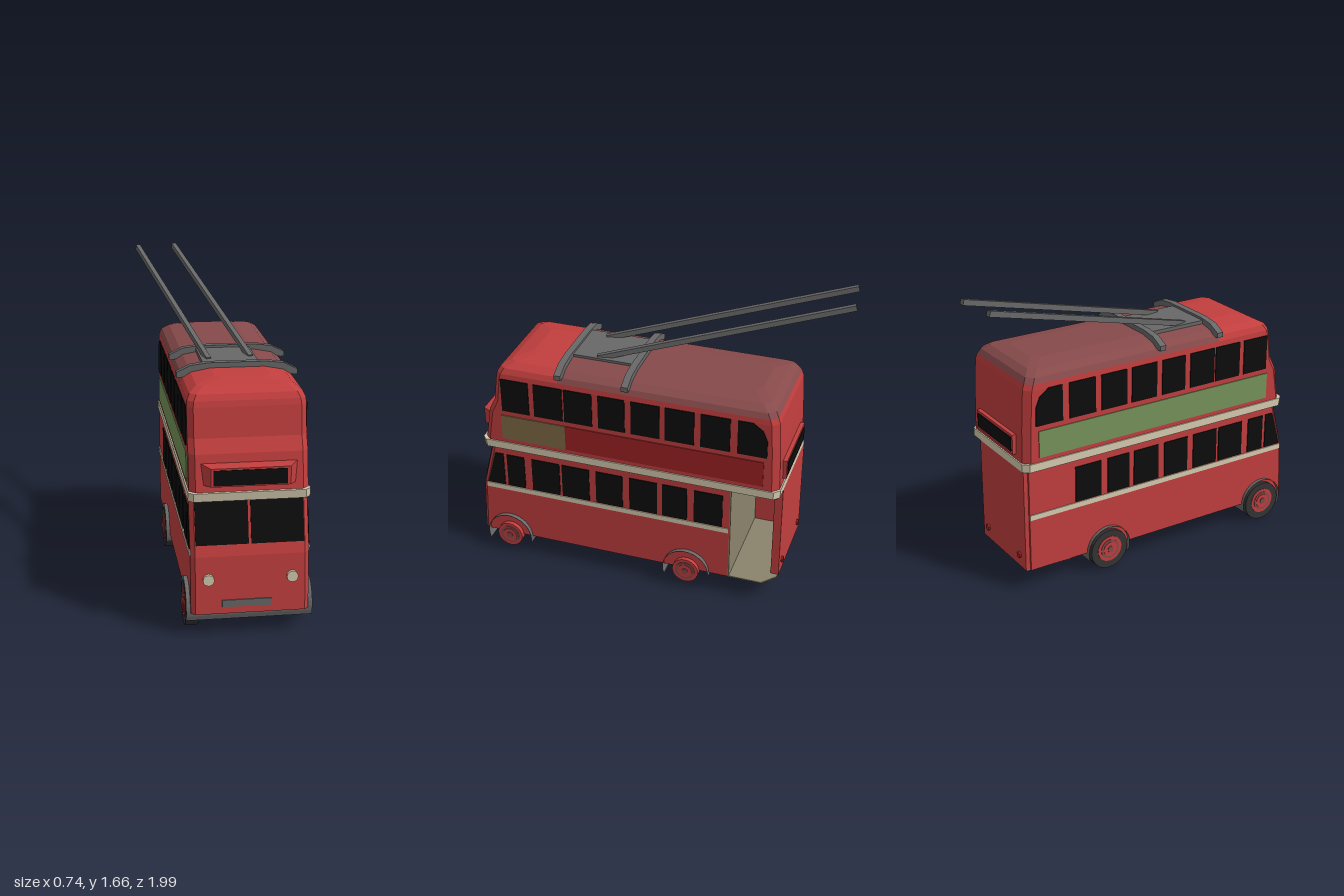
import * as THREE from 'three';

const mat = (name, color, side = THREE.FrontSide) => {
  const m = new THREE.MeshStandardMaterial({ color, side, flatShading: true });
  m.name = name;
  return m;
};

export function createModel() {
  const red = mat('body red', 0xc23e3e), maroon = mat('roof maroon', 0x874a4b);
  const cream = mat('cream', 0xd6ccb0), black = mat('window black', 0x0c0c0c);
  const grey = mat('metal grey', 0x686868, THREE.DoubleSide), tyreMat = mat('tyre dark', 0x343434);
  const tan = mat('panel tan', 0x826a48), adRed = mat('panel red', 0xa02224);
  const green = mat('panel green', 0x76935a), khaki = mat('platform khaki', 0x8a836c);

  const bus = new THREE.Group();
  bus.name = 'doubleDeckTrolleybus';
  const body = new THREE.Group();
  body.name = 'vehicle';
  body.position.x = 0.037;
  bus.add(body);
  const W = 0.297;

  const add = (name, geo, material, x = 0, y = 0, z = 0) => {
    const m = new THREE.Mesh(geo, material);
    m.name = name;
    m.position.set(x, y, z);
    body.add(m);
    return m;
  };
  // box given by its limits
  const box = (name, material, x0, x1, y0, y1, z0, z1) =>
    add(name, new THREE.BoxGeometry(x1 - x0, y1 - y0, z1 - z0), material,
      (x0 + x1) / 2, (y0 + y1) / 2, (z0 + z1) / 2);

  // stack of corner-cut rectangles, levels [y, zFront, zBack, halfWidth]
  const loft = (name, material, levels, cf, cb) => {
    const rings = levels.map(([y, f, b, w]) => [
      [w, y, f - cf], [w, y, b + cb], [w - cb, y, b], [-w + cb, y, b],
      [-w, y, b + cb], [-w, y, f - cf], [-w + cf, y, f], [w - cf, y, f]]);
    const pos = [];
    const tri = (a, b, c) => pos.push(...a, ...b, ...c);
    for (let i = 0; i + 1 < rings.length; i++)
      for (let j = 0; j < 8; j++) {
        const k = (j + 1) % 8, lo = rings[i], hi = rings[i + 1];
        tri(lo[j], lo[k], hi[k]);
        tri(lo[j], hi[k], hi[j]);
      }
    const bot = rings[0], top = rings[rings.length - 1];
    for (let j = 1; j < 7; j++) {
      tri(top[0], top[j], top[j + 1]);
      tri(bot[0], bot[j + 1], bot[j]);
    }
    const g = new THREE.BufferGeometry();
    g.setAttribute('position', new THREE.Float32BufferAttribute(pos, 3));
    g.computeVertexNormals();
    return add(name, g, material);
  };

  // thin polygon on a side wall, points [z, y]
  const sidePlate = (name, material, pts, side) => {
    const s = new THREE.Shape(pts.map(([z, y]) => new THREE.Vector2(-z, y)));
    const g = new THREE.ExtrudeGeometry(s, { depth: 0.006, bevelEnabled: false });
    g.rotateY(Math.PI / 2);
    return add(name, g, material, side > 0 ? W - 0.001 : -W - 0.005);
  };
  const rect = (z0, z1, y0, y1) => [[z0, y0], [z1, y0], [z1, y1], [z0, y1]];

  // lower deck
  loft('lowerBody', red, [[0.12, 0.99, -0.48, W], [0.42, 0.975, -0.48, W], [0.7, 0.905, -0.48, W]], 0.022, 0);
  box('rearSideWall', red, -W, -W + 0.03, 0.12, 0.7, -0.72, -0.48);
  box('rearWall', red, -W + 0.012, 0.2, 0.12, 0.7, -0.745, -0.7);
  box('bulkhead', khaki, -W + 0.03, W, 0.125, 0.7, -0.486, -0.48);
  box('platformCeiling', khaki, -W + 0.03, W - 0.005, 0.694, 0.7, -0.73, -0.48);
  // platform floor with its outer rear corner cut off
  const floor = new THREE.Shape([[-W, 0.48], [W, 0.48], [W, 0.67], [0.22, 0.74], [-W + 0.012, 0.74]]
    .map(([x, z]) => new THREE.Vector2(x, z)));
  const floorGeo = new THREE.ExtrudeGeometry(floor, { depth: 0.008, bevelEnabled: false });
  floorGeo.rotateX(-Math.PI / 2);
  add('platformFloor', floorGeo, khaki, 0, 0.117, 0);
  box('frontUnderside', grey, -W + 0.01, W - 0.01, 0.115, 0.121, -0.2, 0.97);
  box('rearUnderside', tan, -W + 0.01, W - 0.01, 0.115, 0.121, -0.66, -0.2);

  // cream band, upper deck and roof
  loft('deckBand', cream, [[0.7, 0.95, -0.745, 0.304], [0.745, 0.957, -0.745, 0.304]], 0.025, 0.03);
  loft('upperBody', red, [[0.745, 0.94, -0.738, W], [0.93, 0.91, -0.733, W], [1.0, 0.875, -0.73, W],
    [1.15, 0.855, -0.722, W], [1.18, 0.848, -0.712, 0.294]], 0.03, 0.035);
  const roof = [[1.18, 0.848, -0.712, 0.294], [1.21, 0.83, -0.695, 0.28],
    [1.237, 0.78, -0.66, 0.24], [1.256, 0.69, -0.59, 0.14]];
  loft('roofFront', red, roof.map(([y, f, b, w]) => [y, f, 0.49, w]), 0.03, 0);
  loft('roofRear', maroon, roof.map(([y, f, b, w]) => [y, 0.49, b, w]), 0, 0.035);

  // side windows, bands and panels
  const upperWins = [[0.82, 0.66], [0.63, 0.465], [0.455, 0.295], [0.26, 0.11],
    [0.075, -0.085], [-0.115, -0.275], [-0.31, -0.47]];
  const lowerWins = [[0.815, 0.71], [0.665, 0.5], [0.485, 0.325], [0.285, 0.13],
    [0.09, -0.07], [-0.1, -0.24], [-0.28, -0.44]];
  for (const s of [1, -1]) {
    upperWins.forEach(([a, b]) => sidePlate('upperWindow', black, rect(a, b, 0.95, 1.15), s));
    sidePlate('upperRearWindow', black,
      [[-0.51, 0.95], [-0.67, 0.95], [-0.67, 1.05], [-0.645, 1.11], [-0.59, 1.15], [-0.51, 1.15]], s);
    lowerWins.forEach(([a, b]) => sidePlate('lowerWindow', black, rect(a, b, 0.455, 0.66), s));
    sidePlate('cabWindow', black, [[0.94, 0.455], [0.835, 0.455], [0.835, 0.66], [0.885, 0.66]], s);
    sidePlate('waistBand', cream, rect(0.952, s > 0 ? -0.475 : -0.72, 0.42, 0.45), s);
  }
  sidePlate('tanPanel', tan, rect(0.83, 0.455, 0.77, 0.92), 1);
  sidePlate('redPanel', adRed, rect(0.455, -0.655, 0.77, 0.92), 1);
  sidePlate('greenPanel', green, rect(0.83, -0.655, 0.77, 0.92), -1);

  // windscreen, lamps and front plate
  for (const s of [1, -1]) {
    const pane = add('windscreen', new THREE.BoxGeometry(0.265, 0.226, 0.006), black, s * 0.139, 0.586, 0.935);
    pane.rotation.x = -Math.atan(0.25);
    const lamp = add('headlamp', new THREE.CylinderGeometry(0.029, 0.029, 0.02, 12), cream, s * 0.21, 0.303, 0.987);
    lamp.rotation.x = Math.PI / 2;
    const tail = add('tailLamp', new THREE.CylinderGeometry(0.018, 0.018, 0.014, 10), adRed, s * 0.18 - 0.04, 0.19, -0.749);
    tail.rotation.x = Math.PI / 2;
  }
  box('frontPlate', grey, -0.142, 0.108, 0.155, 0.192, 0.978, 0.992);

  // destination box: wide at the wall, narrower at its face
  const hood = new THREE.BoxGeometry(0.51, 0.11, 0.09);
  const hp = hood.attributes.position;
  for (let i = 0; i < hp.count; i++)
    if (hp.getZ(i) > 0) hp.setXYZ(i, hp.getX(i) * 0.77, hp.getY(i) * 0.85 - 0.003, hp.getZ(i));
  hood.computeVertexNormals();
  add('destinationBox', hood, red, 0, 0.834, 0.937);
  box('destinationWindow', black, -0.185, 0.18, 0.791, 0.869, 0.98, 0.986);
  box('rearWindowFrame', red, -0.2, 0.2, 0.775, 0.885, -0.757, -0.72);
  box('rearWindow', black, -0.185, 0.185, 0.79, 0.87, -0.761, -0.755);

  // wheels, with mudguards running right across the underside
  const disc = (name, r, x0, x1, y, z, material) => {
    const g = new THREE.CylinderGeometry(r, r, x1 - x0, 24);
    g.rotateZ(Math.PI / 2);
    return add(name, g, material, (x0 + x1) / 2, y, z);
  };
  for (const z of [0.82, -0.24]) {
    disc('tyre', 0.115, -0.318, -0.252, 0.115, z, tyreMat);
    for (const s of [1, -1]) {
      const at = (name, r, a, b, m) => disc(name, r, Math.min(s * a, s * b), Math.max(s * a, s * b), 0.118, z, m);
      at('hub', 0.075, 0.28, 0.321, red);
      at('hubRing', 0.056, 0.3, 0.324, maroon);
      at('hubDish', 0.042, 0.3, 0.327, red);
      at('hubCap', 0.018, 0.3, 0.331, maroon);
    }
    const guard = new THREE.CylinderGeometry(0.132, 0.132, 0.64, 20, 1, true, -0.12 * Math.PI, 1.24 * Math.PI);
    guard.rotateZ(Math.PI / 2);
    add('mudguard', guard, grey, 0.002, 0.118, z);
  }

  // roof hoops and pole base
  const arch = [[0.312, 1.21], [0.312, 1.237], [0.24, 1.272], [0.15, 1.283]];
  const outer = [...arch, ...arch.map(([x, y]) => [-x, y]).reverse()];
  const inner = [[-0.29, 1.21], [-0.15, 1.25], [0.15, 1.25], [0.29, 1.21]];
  const hoopShape = new THREE.Shape([...outer, ...inner].map(([x, y]) => new THREE.Vector2(x, y)));
  for (const z of [0.085, 0.462])
    add('roofHoop', new THREE.ExtrudeGeometry(hoopShape, { depth: 0.038, bevelEnabled: false }), grey, 0, 0, z);
  box('poleBase', grey, -0.17, 0.12, 1.25, 1.27, 0.1, 0.48);

  // current collector poles
  const pole = (a, b) => {
    const p = new THREE.Vector3(...a), q = new THREE.Vector3(...b);
    const m = add('collectorPole', new THREE.BoxGeometry(0.026, 0.03, p.distanceTo(q)), grey);
    m.position.copy(p).lerp(q, 0.5);
    m.lookAt(q.clone().add(body.position));
  };
  pole([-0.13, 1.262, 0.36], [-0.393, 1.645, -0.96]);
  pole([0.095, 1.262, 0.33], [-0.173, 1.645, -0.99]);

  return bus;
}
